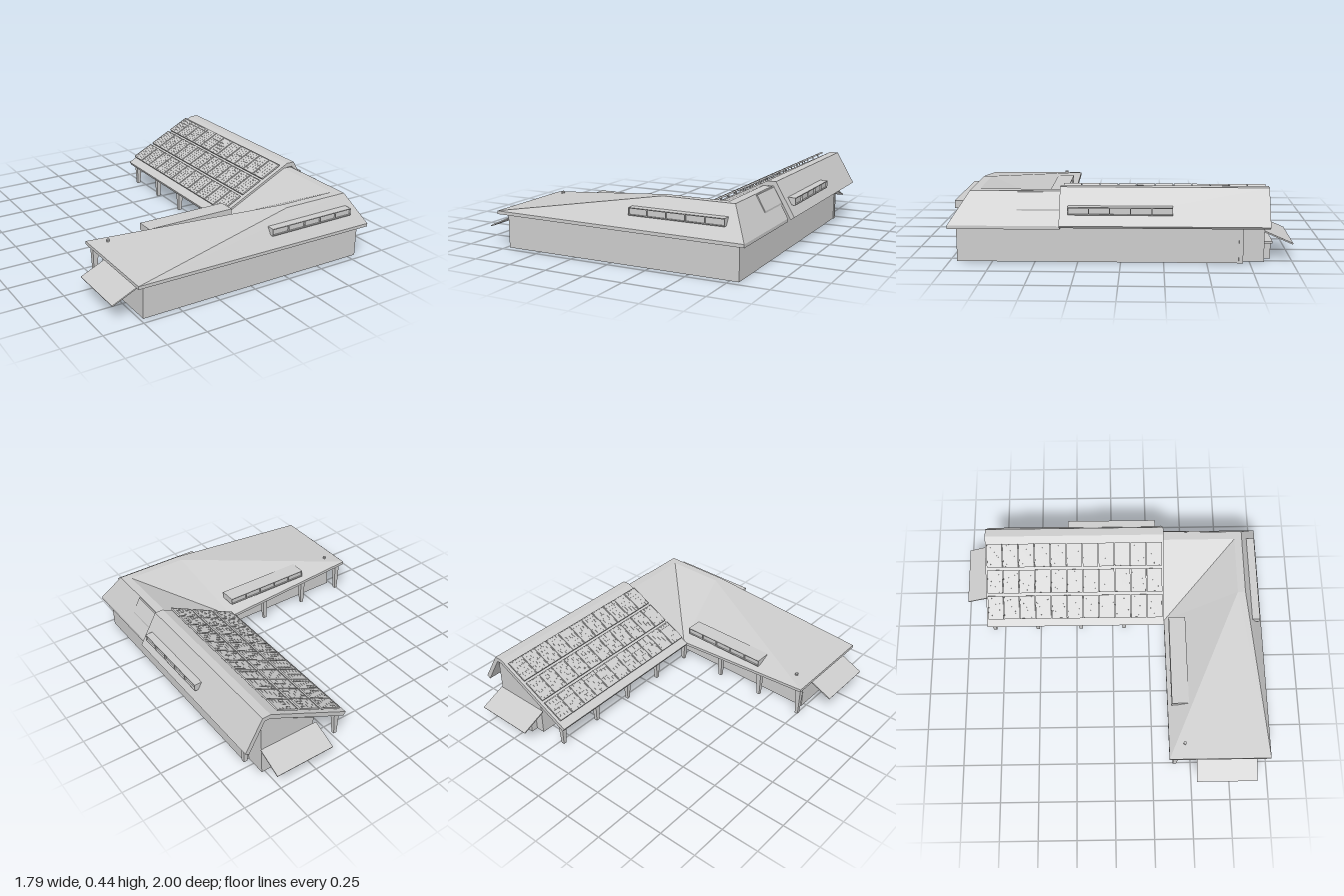
import * as THREE from 'three';

const mat = new THREE.MeshStandardMaterial({ color: 0xcccccc, flatShading: true });

function add(parent, name, geo, x = 0, y = 0, z = 0) {
  const m = new THREE.Mesh(geo, mat);
  m.name = name;
  m.position.set(x, y, z);
  parent.add(m);
  return m;
}

// box given by its minimum and maximum corners
function block(parent, name, x0, x1, y0, y1, z0, z1) {
  return add(parent, name, new THREE.BoxGeometry(x1 - x0, y1 - y0, z1 - z0),
    (x0 + x1) / 2, (y0 + y1) / 2, (z0 + z1) / 2);
}

// cross-section in x and y, drawn out along z
function prism(parent, name, pts, z0, z1) {
  const shape = new THREE.Shape(pts.map(p => new THREE.Vector2(...p)));
  return add(parent, name, new THREE.ExtrudeGeometry(shape, { depth: z1 - z0, bevelEnabled: false }), 0, 0, z0);
}

// hipped roof over the front wing, closed below by a soffit
function frontRoof(parent) {
  const P = {
    A: [-0.78, 0.235, 1], B: [0.85, 0.225, 1], C: [0.85, 0.225, 0.35],
    D: [0.2, 0.165, 0.35], E: [-0.78, 0.235, 0.35], F: [0.3, 0.41, 0.88],
    G: [0.745, 0.41, 0.88], H: [0.745, 0.41, 0.35], I: [0.69, 0.41, 0.35],
    J: [0.69, 0.41, 0.83], K: [0.3, 0.41, 0.83],
  };
  // lower rim points, in lower case
  for (const k of 'ABCDE') P[k.toLowerCase()] = [P[k][0], P[k][1] - 0.02, P[k][2]];
  const faces = ['ABGF', 'BCHG', 'FGJK', 'GHIJ', 'JID', 'DEKJ', 'AFKE', 'CDIH',
    'abBA', 'bcCB', 'cdDC', 'deED', 'eaAE', 'dcbae'];
  const pos = [];
  for (const f of faces)
    for (let i = 1; i < f.length - 1; i++) pos.push(...P[f[0]], ...P[f[i]], ...P[f[i + 1]]);
  const geo = new THREE.BufferGeometry();
  geo.setAttribute('position', new THREE.Float32BufferAttribute(pos, 3));
  geo.computeVertexNormals();
  add(parent, 'frontRoof', geo);
}

// long dormer with five recessed panes, facing +z, top and back set into the roof
function dormer(parent, name, width, height, depth, x, y, z, turn) {
  const g = new THREE.Group();
  g.name = name;
  const n = 5, t = 0.005, cell = width / n;
  const frame = new THREE.Shape();
  frame.moveTo(-width / 2, 0).lineTo(width / 2, 0).lineTo(width / 2, height).lineTo(-width / 2, height);
  for (let i = 0; i < n; i++) {
    const a = -width / 2 + i * cell + t / 2, b = a + cell - t;
    const hole = new THREE.Path();
    hole.moveTo(a, t).lineTo(a, height - t).lineTo(b, height - t).lineTo(b, t);
    frame.holes.push(hole);
  }
  add(g, 'windowFrame', new THREE.ExtrudeGeometry(frame, { depth: 0.012, bevelEnabled: false }), 0, 0, -0.012);
  block(g, 'dormerBody', -width / 2, width / 2, 0, height, -depth, -0.01);
  g.position.set(x, y, z);
  g.rotation.y = turn;
  parent.add(g);
}

// column that widens toward the top
function column(parent, x, z, h) {
  const geo = new THREE.CylinderGeometry(0.026, 0.015, h, 4, 1).rotateY(Math.PI / 4);
  add(parent, 'column', geo, x, h / 2, z);
}

// framed solar panel lying on the sloped roof, sized u along the slope and w along z
function solarPanel(parent, u, w, x, y, z, tilt) {
  const g = new THREE.Group();
  g.name = 'solarPanel';
  add(g, 'panelSheet', new THREE.BoxGeometry(u, 0.006, w));
  for (const s of [-1, 1]) {
    add(g, 'panelFrameEnd', new THREE.BoxGeometry(0.005, 0.011, w), s * (u / 2 - 0.0025));
    add(g, 'panelFrameSide', new THREE.BoxGeometry(u, 0.011, 0.004), 0, 0, s * (w / 2 - 0.002));
    add(g, 'panelLeg', new THREE.BoxGeometry(0.006, 0.025, 0.006), s * u * 0.35, -0.013, 0);
  }
  for (let i = 1; i < 6; i++)
    add(g, 'cellLine', new THREE.BoxGeometry(0.002, 0.008, w), (i / 6 - 0.5) * u);
  for (let i = 1; i < 4; i++)
    add(g, 'cellLine', new THREE.BoxGeometry(u, 0.008, 0.002), 0, 0, (i / 4 - 0.5) * w);
  g.position.set(x, y, z);
  g.rotation.z = tilt;
  parent.add(g);
}

export function createModel() {
  const model = new THREE.Group();
  model.name = 'building';

  // walls of the two wings
  block(model, 'frontWingWalls', -0.73, 0.805, 0, 0.215, 0.47, 0.957);
  const wall = [[0.37, 0], [0.805, 0], [0.805, 0.315], [0.755, 0.405], [0.725, 0.405], [0.37, 0.22]];
  prism(model, 'backWingWalls', wall, -0.7, 0.6);
  const end = [[0.4, 0], [0.77, 0], [0.77, 0.375], [0.755, 0.4], [0.725, 0.4], [0.4, 0.23]];
  prism(model, 'backWingEndWall', end, -0.835, -0.69);
  block(model, 'cornerPost', 0.785, 0.81, 0, 0.215, -0.71, -0.685);

  // roofs
  frontRoof(model);
  const roof = [[0.17, 0.165], [0.185, 0.14], [0.72, 0.412], [0.755, 0.412], [0.866, 0.218],
    [0.89, 0.235], [0.77, 0.44], [0.715, 0.44]];
  prism(model, 'backRoof', roof, -0.855, 0.35);

  // courtyard columns
  for (let i = 0; i < 5; i++) column(model, 0.225, -0.82 + i * 0.3, 0.165);
  [-0.1, -0.43, -0.745].forEach((x, i) => column(model, x, 0.395, 0.18 + i * 0.015));

  // dormers on the front, outer and courtyard slopes
  dormer(model, 'frontDormer', 0.595, 0.045, 0.075, 0.427, 0.3, 0.975, 0);
  dormer(model, 'sideDormer', 0.6, 0.045, 0.075, 0.877, 0.297, 0, Math.PI / 2);
  dormer(model, 'courtyardDormer', 0.6, 0.045, 0.11, -0.122, 0.235, 0.375, Math.PI);

  // three rows of solar panels
  const slope = (0.44 - 0.165) / (0.715 - 0.17), tilt = Math.atan(slope);
  const pitch = 1.185 / 11;
  for (const x of [0.279, 0.435, 0.591])
    for (let i = 0; i < 11; i++)
      solarPanel(model, 0.14 / Math.cos(tilt), pitch - 0.004, x,
        0.165 + (x - 0.17) * slope + 0.022, -0.845 + (i + 0.5) * pitch, tilt);

  // sloping canopies at both ends
  const backCanopy = add(model, 'backCanopy', new THREE.BoxGeometry(0.395, 0.008, 0.18), 0.578, 0.146, -0.918);
  backCanopy.rotation.x = -Math.atan2(0.07, 0.16);
  const sideCanopy = add(model, 'sideCanopy', new THREE.BoxGeometry(0.195, 0.008, 0.39), -0.812, 0.15, 0.725);
  sideCanopy.rotation.z = Math.atan2(0.08, 0.175);

  // serving counter under the back canopy
  block(model, 'counter', 0.46, 0.7, 0, 0.095, -0.88, -0.83);
  block(model, 'counterTop', 0.45, 0.71, 0.095, 0.107, -0.89, -0.83);

  // small roof vent
  add(model, 'roofVent', new THREE.CylinderGeometry(0.01, 0.01, 0.03, 8), -0.68, 0.25, 0.45);
  return model;
}
